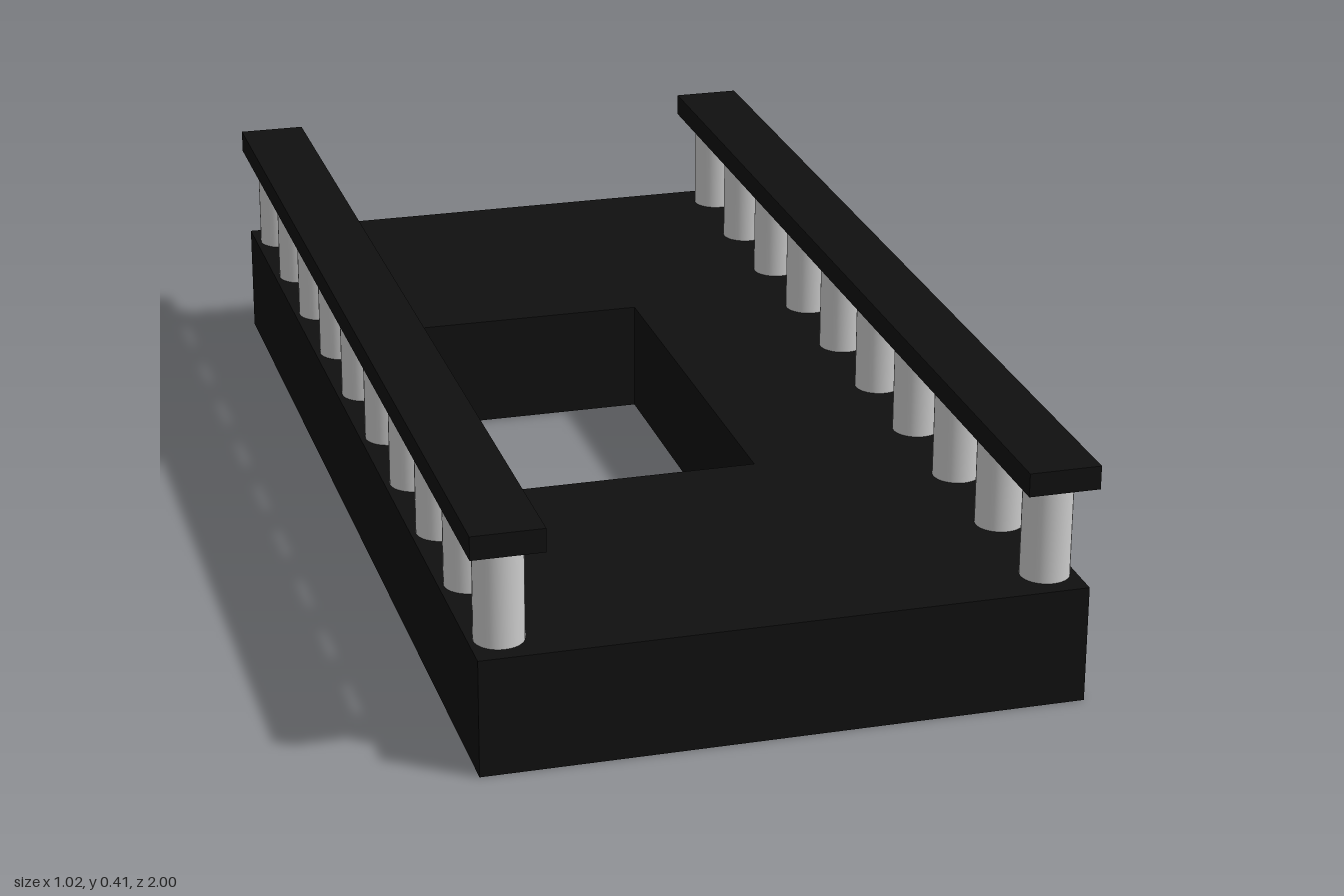
import * as THREE from 'three';

export function createModel() {
  const model = new THREE.Group();
  model.name = 'balcony';

  const black = new THREE.MeshStandardMaterial({ color: 0x101010 });
  black.name = 'black';
  const paleGrey = new THREE.MeshStandardMaterial({ color: 0xcccccc });
  paleGrey.name = 'pale grey';

  const add = (name, geometry, material, x, y, z, parent = model) => {
    const mesh = new THREE.Mesh(geometry, material);
    mesh.name = name;
    mesh.position.set(x, y, z);
    parent.add(mesh);
    return mesh;
  };

  // Rectangle outline in the slab plane (shape y becomes -z)
  const rectangle = (path, x0, x1, z0, z1) =>
    path.moveTo(x0, -z1).lineTo(x1, -z1).lineTo(x1, -z0).lineTo(x0, -z0).closePath();

  // Floor slab with an off-centre rectangular opening
  const outline = rectangle(new THREE.Shape(), -0.5, 0.5, -1, 1);
  outline.holes.push(rectangle(new THREE.Path(), -0.39, 0.13, -0.387, 0.387));
  const slab = new THREE.ExtrudeGeometry(outline, { depth: 0.2, bevelEnabled: false });
  slab.rotateX(-Math.PI / 2);
  add('floorSlab', slab, black, 0, 0, 0);

  // A balustrade along each long side: ten round posts under a flat handrail
  const postGeometry = new THREE.CylinderGeometry(0.041, 0.041, 0.17, 32);
  const railGeometry = new THREE.BoxGeometry(0.12, 0.04, 2);
  const postCount = 10;
  for (const side of [-1, 1]) {
    const balustrade = new THREE.Group();
    balustrade.name = side > 0 ? 'leftBalustrade' : 'rightBalustrade';
    balustrade.position.x = side * 0.45;
    model.add(balustrade);
    add('handrail', railGeometry, black, 0, 0.39, 0, balustrade);
    for (let i = 0; i < postCount; i++) {
      const z = THREE.MathUtils.lerp(0.93, -0.93, i / (postCount - 1));
      add('post', postGeometry, paleGrey, 0, 0.285, z, balustrade);
    }
  }
  return model;
}
